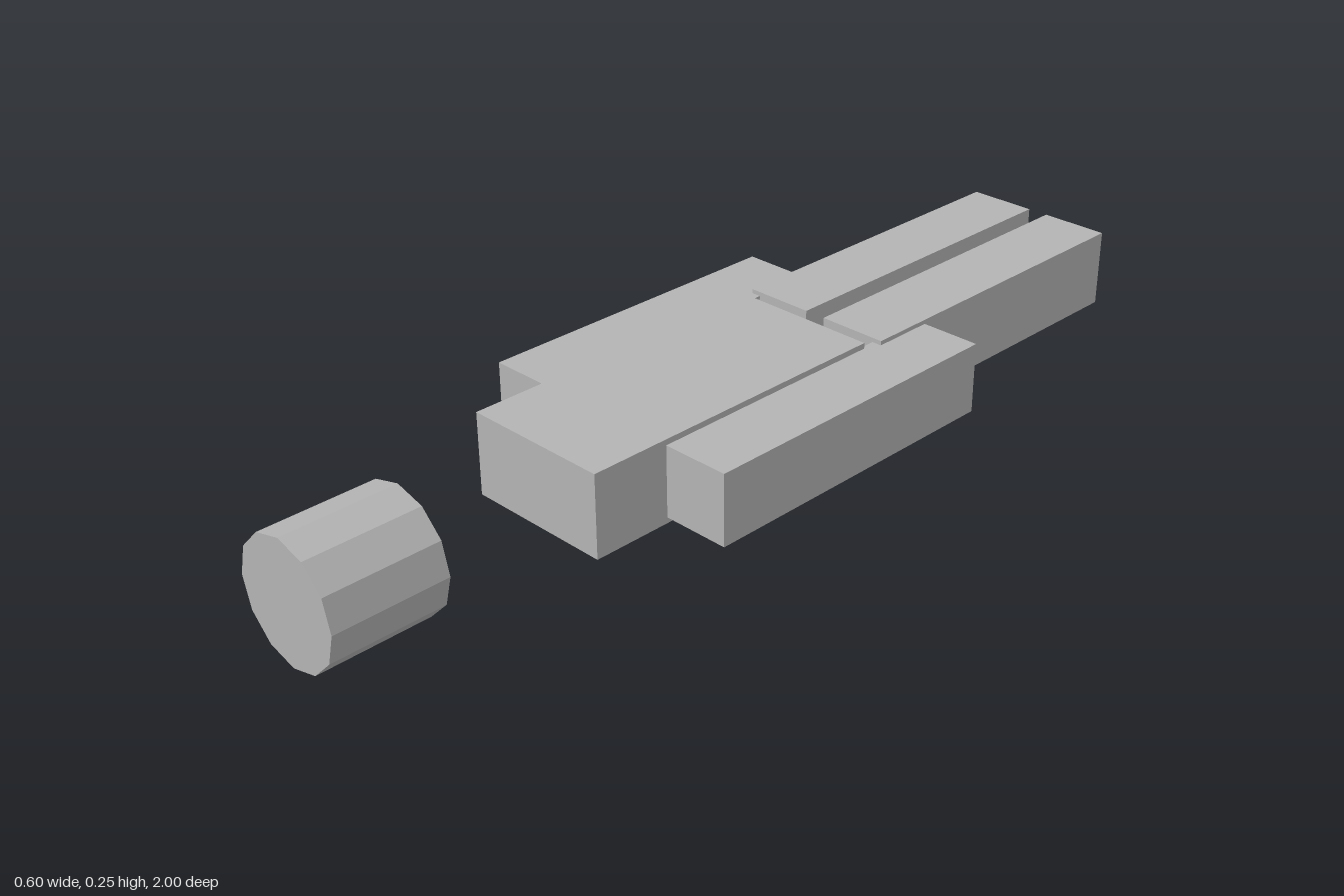
import * as THREE from 'three';

export function createModel() {
  const group = new THREE.Group();
  const grey = new THREE.MeshStandardMaterial({ color: 0xb3b3b3, flatShading: true });
  grey.name = 'plain grey';
  const midY = 0.126; // every part lies on one horizontal axis

  function add(name, geometry, x, z) {
    const mesh = new THREE.Mesh(geometry, grey);
    mesh.name = name;
    mesh.position.set(x, midY, z);
    group.add(mesh);
  }

  // Detached twelve-sided head, axis along z
  add('head', new THREE.CylinderGeometry(0.125, 0.125, 0.233, 12).rotateX(Math.PI / 2), 0, 0.8835);

  // Torso block
  add('torso', new THREE.BoxGeometry(0.316, 0.172, 0.7), 0, 0.128);

  // Mirrored limbs
  for (const [side, s] of [['left', 1], ['right', -1]]) {
    add(side + 'Arm', new THREE.BoxGeometry(0.149, 0.148, 0.698), s * 0.2255, -0.04);
    add(side + 'Leg', new THREE.BoxGeometry(0.149, 0.166, 0.745), s * 0.0975, -0.6275);
  }
  return group;
}
